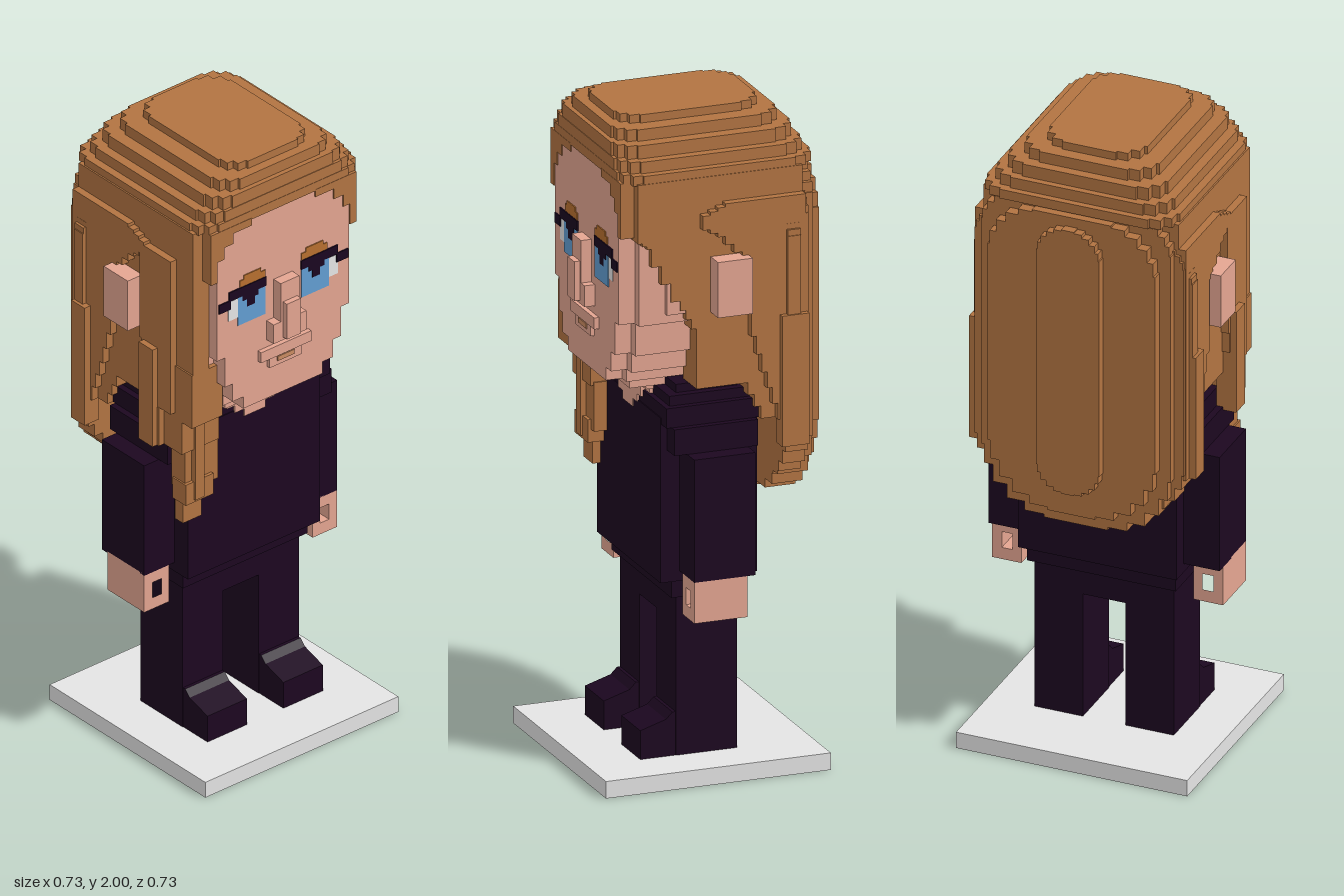
import * as THREE from 'three';

const mat = (name, color) => Object.assign(new THREE.MeshStandardMaterial({ color }), { name });

export function createModel() {
  const root = new THREE.Group();
  root.name = 'blockFigure';
  const skin = mat('skin', 0xe4a591), hair = mat('hair', 0xb27442), cloth = mat('darkCloth', 0x1c0720);
  const grey = mat('baseGrey', 0xe4e4e4), blue = mat('irisBlue', 0x629ed2), white = mat('eyeWhite', 0xe6e6e6);
  const lash = mat('lash', 0x1a0720), brow = mat('brow', 0xb8702f), lip = mat('lip', 0xcb8c62);

  const add = (name, geo, m, parent = root) => {
    const mesh = new THREE.Mesh(geo, m);
    mesh.name = name;
    parent.add(mesh);
    return mesh;
  };
  const group = (name) => {
    const g = new THREE.Group();
    g.name = name;
    root.add(g);
    return g;
  };
  // Box from its limits
  const box = (name, m, x0, x1, y0, y1, z0, z1, parent) =>
    add(name, new THREE.BoxGeometry(x1 - x0, y1 - y0, z1 - z0)
      .translate((x0 + x1) / 2, (y0 + y1) / 2, (z0 + z1) / 2), m, parent);
  const toShape = (pts) => new THREE.Shape(pts.map(([a, b]) => new THREE.Vector2(a, b)));
  // Outline extruded from a to b: axis x takes (z,y), axis y takes (x,z), axis z takes (x,y)
  const slab = (name, m, shape, axis, a, b, parent) => {
    const geo = new THREE.ExtrudeGeometry(shape, { depth: b - a, bevelEnabled: false });
    if (axis === 'x') geo.rotateY(-Math.PI / 2).translate(b, 0, 0);
    else if (axis === 'y') geo.rotateX(Math.PI / 2).translate(0, b, 0);
    else geo.translate(0, 0, a);
    return add(name, geo, m, parent);
  };
  // Rectangle of half width w with staircase corners: radius r0 at the low end, r1 at the high end
  const stepped = (w, y0, y1, r0, r1, n = 5) => {
    const pts = [];
    const corners = [[w - r1, y1 - r1, r1], [r1 - w, y1 - r1, r1], [r0 - w, y0 + r0, r0], [w - r0, y0 + r0, r0]];
    corners.forEach(([cx, cy, r], q) => {
      let last = null;
      for (let i = 0; i <= n; i++) {
        const t = (q + i / n) * Math.PI / 2;
        const p = [cx + r * Math.cos(t), cy + r * Math.sin(t)];
        if (last) pts.push(q % 2 ? [last[0], p[1]] : [p[0], last[1]]);
        pts.push(p);
        last = p;
      }
    });
    return toShape(pts);
  };
  // Turns slanting edges of an outline into staircases
  const stairs = (pts, n = 3) => pts.flatMap((p, i) => {
    const q = pts[(i + 1) % pts.length], out = [p];
    if (p[0] === q[0] || p[1] === q[1]) return out;
    for (let k = 1; k <= n; k++) {
      const x = p[0] + (q[0] - p[0]) * k / n, y = p[1] + (q[1] - p[1]) * k / n;
      out.push([out[out.length - 1][0], y]);
      if (k < n) out.push([x, y]);
    }
    return out;
  });
  const sides = [['left', 1], ['right', -1]];
  const mirrorBox = (name, m, x0, x1, ...rest) => sides.forEach(([side, s]) =>
    box(side + name, m, Math.min(s * x0, s * x1), Math.max(s * x0, s * x1), ...rest));

  // Base, legs and shoes
  box('base', grey, -0.365, 0.365, 0, 0.052, -0.335, 0.365);
  box('hips', cloth, -0.22, 0.22, 0.455, 0.58, -0.1, 0.09);
  mirrorBox('Leg', cloth, 0.067, 0.22, 0.05, 0.46, -0.1, 0.09);
  const shoe = toShape([[-0.08, 0.052], [0.2, 0.052], [0.2, 0.14], [0.12, 0.165], [0.1, 0.185], [-0.08, 0.185]]);
  slab('leftShoe', cloth, shoe, 'x', 0.069, 0.218);
  slab('rightShoe', cloth, shoe, 'x', -0.218, -0.069);

  // Torso with stepped shoulders
  box('hem', cloth, -0.235, 0.235, 0.54, 0.61, -0.12, 0.11);
  box('torso', cloth, -0.25, 0.25, 0.595, 1.1, -0.15, 0.15);
  [[1.0, 1.08, 0.31, -0.13, 0.13], [1.08, 1.14, 0.29, -0.15, 0.147], [1.14, 1.17, 0.27, -0.13, 0.13],
    [1.17, 1.195, 0.245, -0.09, 0.1]].forEach(([a, b, w, z0, z1]) => box('shoulderStep', cloth, -w, w, a, b, z0, z1));
  mirrorBox('Sleeve', cloth, 0.245, 0.365, 0.625, 1.0, -0.1, 0.09);

  // Gripping hands with a square hole running front to back
  sides.forEach(([side, s]) => {
    const hand = toShape([[0.272, 0.5], [0.365, 0.5], [0.365, 0.63], [0.272, 0.63]].map(([x, y]) => [s * x, y]));
    hand.holes.push(toShape([[0.3, 0.538], [0.334, 0.538], [0.334, 0.59], [0.3, 0.59]].map(([x, y]) => [s * x, y])));
    slab(side + 'Hand', skin, hand, 'z', -0.075, 0.09);
  });

  // Neck and neckline
  box('neck', skin, -0.14, 0.14, 1.1, 1.25, -0.1, 0.14);
  [[1.07, 1.095, 0.04], [1.095, 1.12, 0.075], [1.12, 1.155, 0.105], [1.155, 1.2, 0.145]]
    .forEach(([a, b, w]) => box('neckline', skin, -w, w, a, b, 0, 0.154));

  // Head: a narrow face slab in front of a wider one
  const jaw = (w, top) => {
    const half = [[w, top], [w, 1.4], [w - 0.03, 1.4], [w - 0.03, 1.3], [w - 0.06, 1.3], [w - 0.06, 1.24],
      [w - 0.1, 1.24], [w - 0.1, 1.2]];
    return toShape([...half, ...half.map(([x, y]) => [-x, y]).reverse()]);
  };
  slab('face', skin, jaw(0.25, 1.84), 'z', 0.1, 0.28);
  slab('head', skin, jaw(0.285, 1.84), 'z', -0.2, 0.23);
  box('underChin', skin, -0.16, 0.16, 1.17, 1.22, 0.06, 0.21);
  mirrorBox('Ear', skin, 0.28, 0.365, 1.425, 1.595, -0.092, 0.016);
  box('leftCheek', skin, 0.25, 0.303, 1.43, 1.6, 0.02, 0.15);

  // Nose and mouth
  box('noseBridge', skin, -0.035, 0.035, 1.41, 1.595, 0.27, 0.312);
  box('noseTip', skin, -0.027, 0.027, 1.41, 1.53, 0.3, 0.33);
  box('nostrils', skin, -0.062, 0.062, 1.4, 1.465, 0.27, 0.312);
  box('upperLip', skin, -0.095, 0.095, 1.34, 1.375, 0.27, 0.295);
  box('lowerLip', skin, -0.06, 0.06, 1.308, 1.342, 0.27, 0.292);
  box('lipLine', lip, -0.032, 0.032, 1.322, 1.337, 0.29, 0.295);

  // Painted eyes
  mirrorBox('EyeWhite', white, 0.16, 0.207, 1.52, 1.585, 0.277, 0.2815);
  mirrorBox('Iris', blue, 0.068, 0.172, 1.492, 1.59, 0.277, 0.2825);
  mirrorBox('Pupil', lash, 0.095, 0.155, 1.57, 1.592, 0.277, 0.2835);
  mirrorBox('PupilTip', lash, 0.108, 0.138, 1.545, 1.571, 0.277, 0.2835);
  mirrorBox('UpperLash', lash, 0.066, 0.205, 1.588, 1.618, 0.277, 0.2845);
  mirrorBox('LashCorner', lash, 0.2, 0.244, 1.56, 1.59, 0.277, 0.2845);
  mirrorBox('Brow', brow, 0.068, 0.165, 1.62, 1.642, 0.277, 0.2835);
  mirrorBox('BrowArch', brow, 0.085, 0.15, 1.642, 1.655, 0.277, 0.2835);

  // Crown of the hair in shrinking layers
  const crown = group('hairCrown');
  [[1.975, 2.0, 0.155, -0.21, 0.235], [1.94, 1.975, 0.21, -0.25, 0.265], [1.9, 1.94, 0.25, -0.28, 0.28],
    [1.865, 1.9, 0.28, -0.3, 0.282], [1.835, 1.865, 0.305, -0.32, 0.283]].forEach(([a, b, w, z0, z1]) =>
    slab('crownLayer', hair, stepped(w, z0, z1, 0.07, 0.06, 3), 'y', a, b, crown));

  // Fringe framing the forehead
  const fringe = [[0.275, 1.84], [0.12, 1.84], [0.12, 1.815], [0.19, 1.815], [0.19, 1.78], [0.225, 1.78], [0.225, 1.74],
    [0.25, 1.74], [0.25, 1.67], [0.275, 1.67]];
  slab('leftFringe', hair, toShape(fringe), 'z', 0.15, 0.284);
  slab('rightFringe', hair, toShape(fringe.map(([x, y]) => [-x, y])), 'z', 0.15, 0.284);

  // Hair on the left side, swept back behind the ear
  slab('leftSideHair', hair, toShape(stairs([[0.242, 1.84], [0.242, 1.67], [0.2, 1.64], [0.11, 1.47], [0.06, 1.38],
    [0.06, 1.195], [-0.1, 1.195], [-0.16, 1.08], [-0.21, 1.08], [-0.21, 1.0], [-0.27, 1.0], [-0.27, 1.84]])), 'x', 0.2, 0.307);
  const swept = [[0.05, 1.73], [0.05, 1.7], [-0.02, 1.66], [-0.1, 1.58], [-0.1, 1.4], [-0.15, 1.23], [-0.2, 1.08],
    [-0.2, 1.0], [-0.27, 1.0], [-0.27, 1.76], [-0.02, 1.76]];
  slab('leftSweptLayer', hair, toShape(stairs(swept)), 'x', 0.3, 0.333);
  box('leftBackEdge', hair, 0.3, 0.35, 1.0, 1.4, -0.275, -0.19);

  // Hair on the right side, falling in front of the ear
  slab('rightSideHair', hair, toShape(stairs([[0.245, 1.84], [0.245, 1.28], [0.2, 1.195], [-0.1, 1.195], [-0.16, 1.08],
    [-0.21, 1.08], [-0.21, 1.0], [-0.27, 1.0], [-0.27, 1.84]])), 'x', -0.31, -0.25);
  slab('rightSweptLayer', hair, toShape(stairs(swept)), 'x', -0.333, -0.3);
  slab('rightFrontLayer', hair, toShape(stairs([[0.17, 1.72], [0.17, 1.2], [0.05, 1.2], [0.03, 1.4], [0.03, 1.72]])),
    'x', -0.333, -0.3);
  box('rightBackEdge', hair, -0.355, -0.3, 1.0, 1.4, -0.25, -0.19);
  box('rightOuterStrand', hair, -0.352, -0.29, 1.07, 1.4, 0.05, 0.112);

  // Lock hanging over the right shoulder
  const lock = group('rightLock');
  [[-0.315, -0.2, 1.18, 1.36, 0.08, 0.245], [-0.315, -0.175, 1.07, 1.2, 0.06, 0.2], [-0.295, -0.17, 0.93, 1.08, 0.13, 0.19],
    [-0.3, -0.195, 0.89, 0.96, 0.14, 0.2], [-0.29, -0.22, 0.815, 0.9, 0.14, 0.175], [-0.27, -0.235, 0.9, 1.2, 0.14, 0.207],
    [-0.335, -0.29, 1.07, 1.2, 0.06, 0.12]].forEach((b) => box('lockStep', hair, ...b, lock));

  // Long hair down the back in stacked panels, rounder at the bottom
  const back = group('backHair');
  [[-0.25, 0.345, 0.97, 1.7, 0.1, 0.06], [-0.28, 0.33, 0.87, 1.77, 0.15, 0.07], [-0.305, 0.3, 0.805, 1.85, 0.2, 0.1],
    [-0.337, 0.265, 0.85, 1.83, 0.19, 0.14], [-0.365, 0.1, 0.93, 1.8, 0.08, 0.08]].forEach(([z, w, y0, y1, r0, r1]) =>
    slab('backPanel', hair, stepped(w, y0, y1, r0, r1), 'z', z, -0.21, back));

  return root;
}
